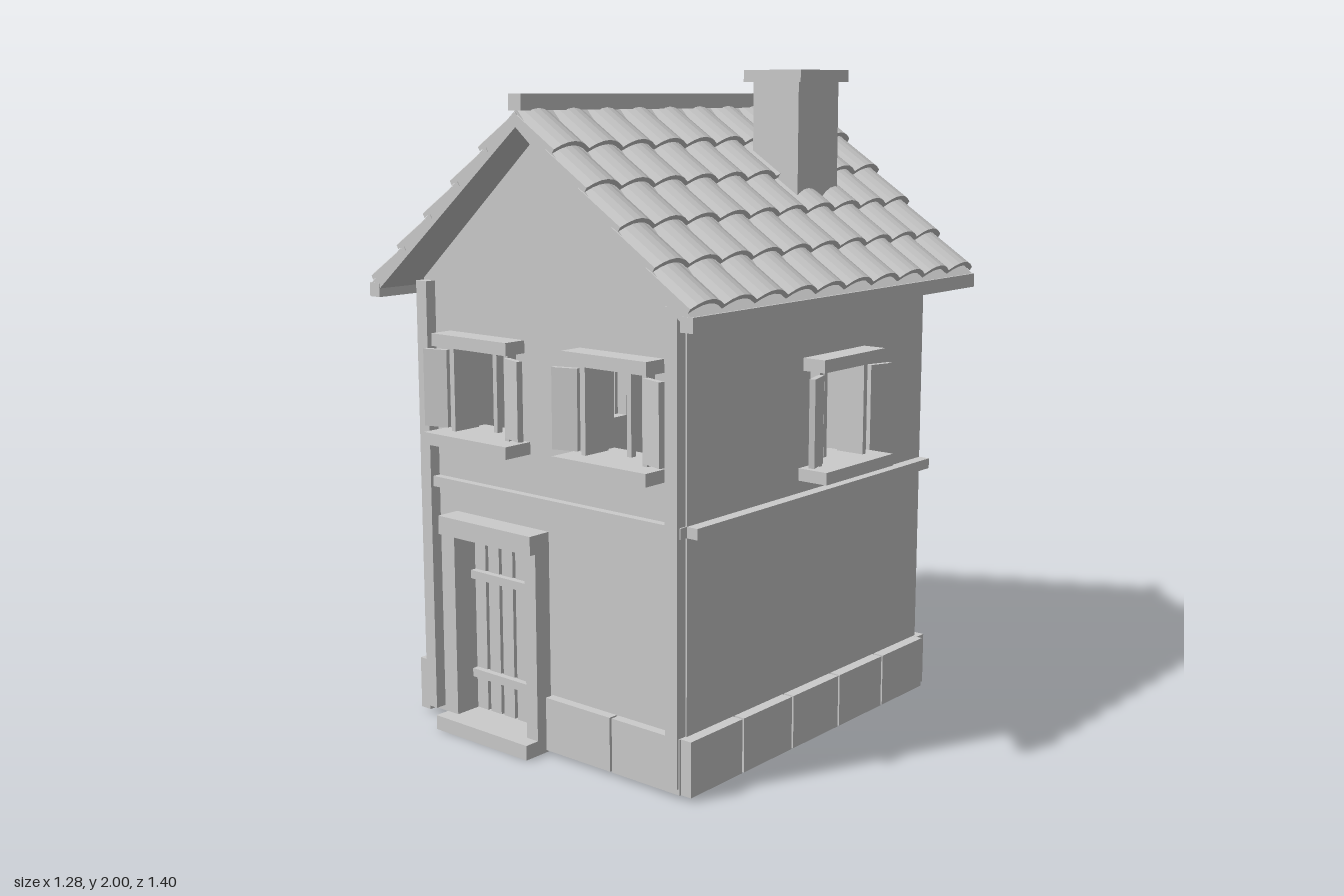
import * as THREE from 'three';

const mat = new THREE.MeshStandardMaterial({ color: 0xcccccc, flatShading: true });
const HX = 0.52, HZ = 0.585, T = 0.1, EAVE = 1.38, APEX = 1.84;

function add(parent, name, geometry) {
  const mesh = new THREE.Mesh(geometry, mat);
  mesh.name = name;
  parent.add(mesh);
  return mesh;
}

// Box given by its min and max along each axis
function box(parent, name, x0, x1, y0, y1, z0, z1) {
  const mesh = add(parent, name, new THREE.BoxGeometry(x1 - x0, y1 - y0, z1 - z0));
  mesh.position.set((x0 + x1) / 2, (y0 + y1) / 2, (z0 + z1) / 2);
  return mesh;
}

function rectPath(x0, x1, y0, y1) {
  return new THREE.Path([[x0, y0], [x0, y1], [x1, y1], [x1, y0]].map(p => new THREE.Vector2(...p)));
}

// Wall slab with openings; its outer face lies on local z = 0
function wall(parent, name, outline, holes) {
  const shape = new THREE.Shape(outline.map(p => new THREE.Vector2(...p)));
  holes.forEach(h => shape.holes.push(rectPath(...h)));
  const geo = new THREE.ExtrudeGeometry(shape, { depth: T, bevelEnabled: false });
  geo.translate(0, 0, -T);
  return add(parent, name, geo);
}

// Window dressing facing +z, with its opening from y0 to y1
const W = 0.12;
function windowUnit(x, y0, y1) {
  const g = new THREE.Group();
  g.name = 'window';
  box(g, 'windowSill', x - 0.175, x + 0.175, y0 - 0.037, y0, -0.03, 0.1);
  box(g, 'windowLintel', x - 0.157, x + 0.157, y1, y1 + 0.038, -0.02, 0.076);
  for (const s of [-1, 1]) {
    const edge = x + s * (W - 0.006);
    box(g, 'windowJamb', edge - 0.008, edge + 0.008, y0, y1, -0.06, 0.035);
    const shutter = add(g, 'shutter', new THREE.BoxGeometry(0.08, y1 - y0 - 0.025, 0.018));
    shutter.position.set(x + s * 0.163, (y0 + y1) / 2, 0.053);
    shutter.rotation.y = -s * 0.3;
  }
  box(g, 'windowMullion', x - 0.008, x + 0.008, y0, y1, -0.05, -0.03);
  return g;
}

// Arched tile: lower end at x = 0, running up towards -x
function tileGeometry(width, length) {
  const top = [], bottom = [], n = 6;
  for (let i = 0; i <= n; i++) {
    const t = (i / n) * 2 - 1, y = 0.005 + 0.025 * (1 - t * t);
    top.unshift(new THREE.Vector2(t * width / 2, y));
    bottom.push(new THREE.Vector2(t * width / 2, y - 0.014));
  }
  const geo = new THREE.ExtrudeGeometry(new THREE.Shape([...bottom, ...top]), { depth: length, bevelEnabled: false });
  return geo.rotateY(Math.PI / 2).translate(-length, 0, 0);
}

export function createModel() {
  const house = new THREE.Group();
  house.name = 'house';

  // Front and back walls with gables
  const gable = [[-HX, 0.012], [HX, 0.012], [HX, EAVE], [0, APEX], [-HX, EAVE]];
  const frontX = [-0.25, 0.285], frontY = [0.93, 1.19], backY = [0.865, 1.155], sideY = [0.85, 1.137];
  wall(house, 'frontWall', gable, [
    ...frontX.map(x => [x - W, x + W, ...frontY]),
    [-0.352, -0.048, 0.045, 0.617],
  ]).position.z = HZ;
  const backWall = wall(house, 'backWall', gable, [[-W, W, ...backY]]);
  backWall.position.z = -HZ;
  backWall.rotation.y = Math.PI;

  // Side walls and their windows
  const sideZ = -0.1, L = HZ - T;
  for (const s of [-1, 1]) {
    const side = new THREE.Group();
    side.name = s > 0 ? 'leftSide' : 'rightSide';
    side.position.x = s * HX;
    side.rotation.y = s * Math.PI / 2;
    const cx = -s * sideZ;
    wall(side, 'sideWall', [[-L, 0.012], [L, 0.012], [L, EAVE], [-L, EAVE]], [[cx - W, cx + W, ...sideY]]);
    side.add(windowUnit(cx, ...sideY));
    box(side, 'sideBelt', -HZ, HZ, 0.743, 0.775, 0, 0.037);
    house.add(side);
  }

  // Front and back windows
  for (const x of frontX) {
    const w = windowUnit(x, ...frontY);
    w.position.z = HZ;
    house.add(w);
  }
  const backWindow = windowUnit(0, ...backY);
  backWindow.position.z = -HZ;
  backWindow.rotation.y = Math.PI;
  house.add(backWindow);

  // Floor, front belt and corner posts
  box(house, 'floor', -HX + T, HX - T, 0.025, 0.05, -L, L);
  box(house, 'frontBelt', -HX, HX, 0.743, 0.775, HZ, HZ + 0.026);
  for (const s of [-1, 1]) {
    box(house, 'cornerPost', s * 0.493 - 0.022, s * 0.493 + 0.022, 0.03, 1.375, HZ - 0.01, HZ + 0.036);
  }

  // Foundation stones
  const y0 = 0.012, y1 = 0.175, gap = 0.004;
  for (const s of [-1, 1]) {
    for (let i = 0; i < 5; i++) {
      const z = 0.613 - i * 0.238;
      const c = s * 0.535;
      box(house, 'sideStone', c - 0.02, c + 0.02, y0, y1, z - 0.238 + gap, z - gap);
    }
  }
  for (let i = 0; i < 4; i++) {
    const x = -0.54 + i * 0.27;
    box(house, 'backStone', x + gap, x + 0.27 - gap, y0, y1, -0.613, -HZ + 0.01);
  }
  for (let i = 0; i < 2; i++) {
    const x = i * 0.262;
    box(house, 'frontStone', x + gap, x + 0.262 - gap, y0, y1, HZ - 0.01, 0.615);
  }

  // Door
  const door = new THREE.Group();
  door.name = 'door';
  box(door, 'threshold', -0.395, -0.005, 0, 0.045, 0.5, 0.69);
  box(door, 'doorLintel', -0.395, -0.005, 0.615, 0.672, 0.56, 0.663);
  box(door, 'doorJamb', -0.395, -0.35, 0.045, 0.615, 0.54, 0.642);
  box(door, 'doorJamb', -0.05, -0.005, 0.045, 0.615, 0.54, 0.642);
  box(door, 'doorBacking', -0.352, -0.048, 0.045, 0.617, 0.52, 0.54);
  for (let i = 0; i < 5; i++) {
    const x = -0.342 + i * 0.0585;
    box(door, 'doorPlank', x, x + 0.046, 0.05, 0.61, 0.54, 0.565);
  }
  for (const y of [0.168, 0.482]) box(door, 'doorCrossbar', -0.34, -0.06, y - 0.013, y + 0.013, 0.56, 0.585);
  house.add(door);

  // Roof: two mirrored slopes, local x runs down the slope
  const roof = new THREE.Group();
  roof.name = 'roof';
  const tile = tileGeometry(0.14, 0.18);
  for (const turn of [0, Math.PI]) {
    const half = new THREE.Group();
    half.name = 'roofHalf';
    half.rotation.y = turn;
    const slope = new THREE.Group();
    slope.name = 'slope';
    slope.position.y = 1.885;
    slope.rotation.z = -Math.atan(0.825);
    box(slope, 'roofSlab', 0, 0.815, -0.035, 0, -0.698, 0.698);
    for (let row = 0; row < 5; row++) {
      for (let col = 0; col < 10; col++) {
        const t = add(slope, 'roofTile', tile);
        t.position.set(0.18 + row * 0.155, 0.01, -0.63 + col * 0.14);
        t.rotation.z = 0.12;
      }
    }
    half.add(slope);
    box(half, 'eaveBoard', 0.592, 0.635, 1.325, 1.367, -0.7, 0.7);
    roof.add(half);
  }
  box(roof, 'ridgeBeam', -0.024, 0.024, 1.885, 1.93, -0.7, 0.7);
  house.add(roof);

  // Chimney with a hollow cap
  const chimney = new THREE.Group();
  chimney.name = 'chimney';
  chimney.position.set(0.252, 0, -0.257);
  box(chimney, 'chimneyStack', -0.085, 0.085, 1.57, 1.968, -0.103, 0.103);
  const ring = new THREE.Shape([[-0.107, -0.124], [0.107, -0.124], [0.107, 0.124], [-0.107, 0.124]].map(p => new THREE.Vector2(...p)));
  ring.holes.push(rectPath(-0.08, 0.08, -0.097, 0.097));
  const cap = add(chimney, 'chimneyCap', new THREE.ExtrudeGeometry(ring, { depth: 0.036, bevelEnabled: false }));
  cap.rotation.x = -Math.PI / 2;
  cap.position.y = 1.964;
  house.add(chimney);

  return house;
}
